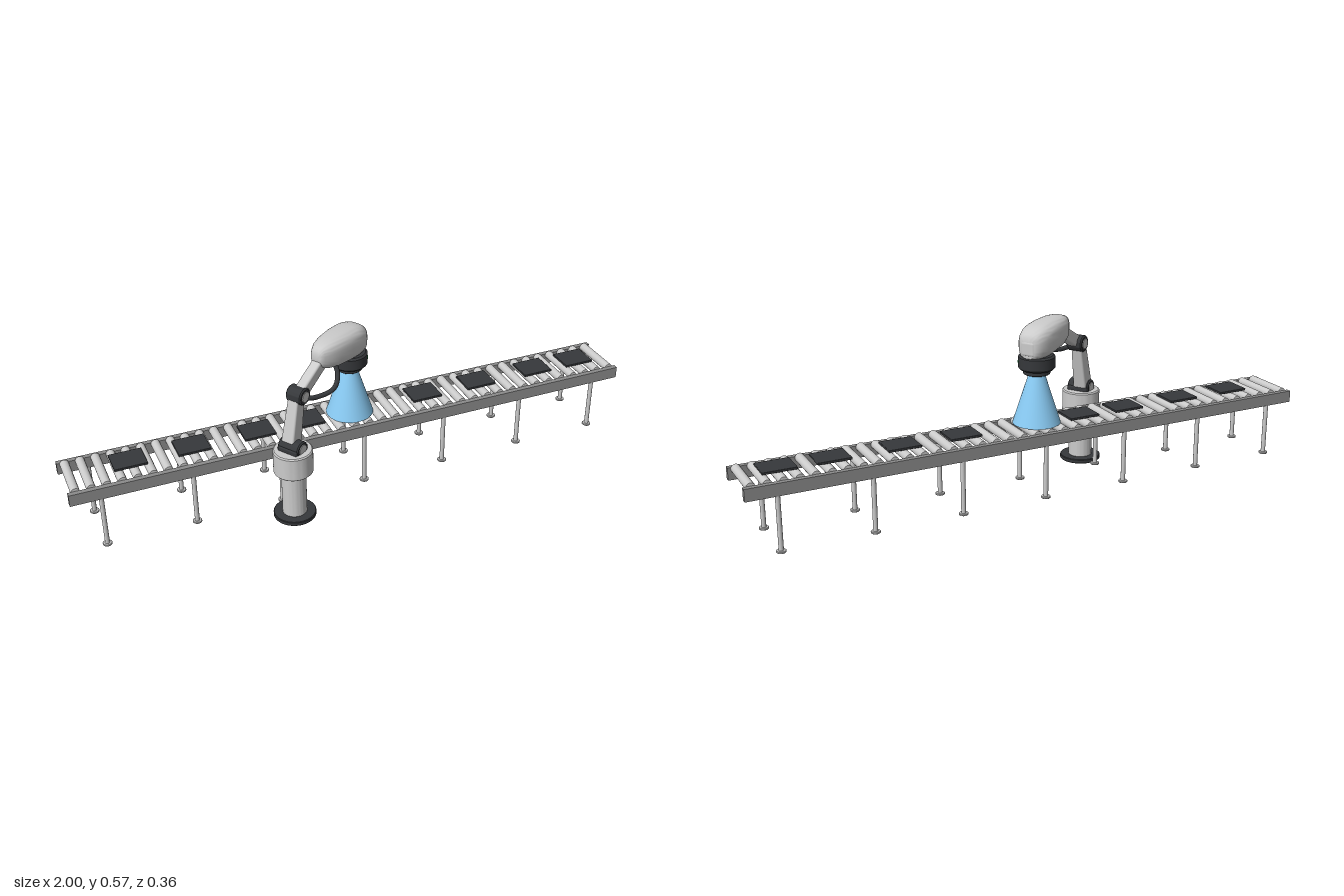
import * as THREE from 'three';
import { RoundedBoxGeometry } from 'three/addons/geometries/RoundedBoxGeometry.js';
import { toCreasedNormals } from 'three/addons/utils/BufferGeometryUtils.js';

const paint = (color) => new THREE.MeshStandardMaterial({ color });
const grey = paint(0xcccccc);
const steel = paint(0x8c8c8c);
const dark = paint(0x36383b);
const blue = paint(0x8accf5);
const green = paint(0x35c060);

function add(parent, name, geometry, material, x = 0, y = 0, z = 0) {
  const mesh = new THREE.Mesh(geometry, material);
  mesh.name = name;
  mesh.position.set(x, y, z);
  parent.add(mesh);
  return mesh;
}

// Upright turned solid with a small chamfer on both rims
function drum(radius, y0, y1, bevel) {
  const points = [[0, y0], [radius - bevel, y0], [radius, y0 + bevel], [radius, y1 - bevel], [radius - bevel, y1], [0, y1]];
  return toCreasedNormals(new THREE.LatheGeometry(points.map((p) => new THREE.Vector2(...p)), 48), 0.6);
}

// Drum lying along z, centred on the origin
const hinge = (radius, length, bevel = 0.004) => drum(radius, -length / 2, length / 2, bevel).rotateX(Math.PI / 2);

// Rounded bar between two points of the arm plane, tapering towards the far end
function link(from, to, width, depth, taper) {
  const a = new THREE.Vector2(...from), b = new THREE.Vector2(...to);
  const length = a.distanceTo(b);
  const geometry = new RoundedBoxGeometry(width, length, depth, 3, 0.007);
  const p = geometry.attributes.position;
  for (let i = 0; i < p.count; i++) {
    const k = 1 - taper * (p.getY(i) / length + 0.5);
    p.setX(i, p.getX(i) * k);
    p.setZ(i, p.getZ(i) * k);
  }
  geometry.rotateZ(Math.atan2(b.y - a.y, b.x - a.x) - Math.PI / 2);
  return geometry.translate((a.x + b.x) / 2, (a.y + b.y) / 2, 0);
}

// Skin over superellipse sections [x, top, bottom, halfWidth], closed at both ends
function loft(sections, sides = 40) {
  const positions = [], index = [];
  const power = (v) => Math.sign(v) * Math.abs(v) ** 0.68;
  for (const [x, top, bottom, half] of sections) {
    for (let j = 0; j < sides; j++) {
      const t = (j / sides) * Math.PI * 2;
      positions.push(x, (top + bottom) / 2 + power(Math.sin(t)) * (top - bottom) / 2, power(Math.cos(t)) * half);
    }
  }
  const last = sections.length - 1;
  for (let i = 0; i < last; i++) {
    for (let j = 0; j < sides; j++) {
      const k = (j + 1) % sides;
      const a = i * sides + j, b = i * sides + k, c = a + sides, d = b + sides;
      index.push(a, c, b, b, c, d);
    }
  }
  for (const i of [0, last]) {
    const [x, top, bottom] = sections[i];
    const centre = positions.length / 3;
    positions.push(x, (top + bottom) / 2, 0);
    for (let j = 0; j < sides; j++) {
      const a = i * sides + j, b = i * sides + ((j + 1) % sides);
      if (i === 0) index.push(centre, a, b);
      else index.push(centre, b, a);
    }
  }
  const geometry = new THREE.BufferGeometry();
  geometry.setAttribute('position', new THREE.Float32BufferAttribute(positions, 3));
  geometry.setIndex(index);
  return toCreasedNormals(geometry, 0.9);
}

function conveyor() {
  const group = new THREE.Group();
  group.name = 'conveyor';
  const middle = -0.0705, offset = 0.094;

  // Side rails on legs with round feet
  const rail = new THREE.BoxGeometry(2, 0.041, 0.0175);
  const leg = new THREE.CylinderGeometry(0.0078, 0.0078, 0.18, 20);
  const foot = drum(0.0155, 0, 0.007, 0.0015);
  for (const side of [1, -1]) {
    const z = middle + side * offset;
    add(group, 'sideRail', rail, steel, 0, 0.2045, z);
    for (let i = -3; i <= 3; i++) {
      add(group, 'leg', leg, grey, i * 0.3, 0.095, z);
      add(group, 'foot', foot, grey, i * 0.3, 0, z);
    }
  }

  // Rollers across the bed
  const roller = new THREE.CylinderGeometry(0.015, 0.015, 0.171, 20).rotateX(Math.PI / 2);
  for (let i = 0; i < 40; i++) add(group, 'roller', roller, grey, -0.975 + i * 0.05, 0.22, middle);

  // Flat goods riding on the rollers
  const plate = new RoundedBoxGeometry(0.11, 0.008, 0.093, 2, 0.002);
  for (const x of [-0.786, -0.575, -0.35, -0.175, -0.015, 0.262, 0.473, 0.702, 0.874]) {
    add(group, 'plate', plate, dark, x, 0.239, middle);
  }
  return group;
}

function robot() {
  // Local x points along the arm, local z to its side
  const group = new THREE.Group();
  group.name = 'robot';
  group.position.set(-0.288, 0, 0.1095);
  group.rotation.y = 0.578;

  // Pedestal
  add(group, 'basePlate', drum(0.071, 0, 0.015, 0.002), dark);
  add(group, 'column', drum(0.041, 0.015, 0.18, 0.001), grey);
  add(group, 'turret', drum(0.0655, 0.175, 0.26, 0.004), grey);

  // Shoulder, elbow and the links between them
  add(group, 'shoulder', hinge(0.029, 0.08), dark, 0, 0.268, 0);
  add(group, 'shoulderFoot', new RoundedBoxGeometry(0.066, 0.02, 0.076, 3, 0.005), dark, 0, 0.265, 0);
  add(group, 'elbow', hinge(0.029, 0.058), dark, 0.045, 0.44, -0.006);
  for (const side of [1, -1]) {
    add(group, 'shoulderCap', hinge(0.018, 0.004, 0.001), grey, 0, 0.27, side * 0.04);
    add(group, 'elbowCap', hinge(0.018, 0.004, 0.001), grey, 0.045, 0.44, -0.006 + side * 0.029);
  }
  add(group, 'lowerArm', link([0.002, 0.262], [0.045, 0.45], 0.054, 0.05, 0.25), grey, 0, 0, -0.009);
  add(group, 'upperArm', link([0.04, 0.44], [0.19, 0.522], 0.042, 0.036, 0), grey);

  // Cable looping from the elbow to the housing
  const cable = new THREE.CatmullRomCurve3([
    [0.045, 0.43, 0.01], [0.09, 0.422, 0.036], [0.15, 0.432, 0.06], [0.193, 0.46, 0.045], [0.205, 0.5, 0.02],
  ].map((p) => new THREE.Vector3(...p)));
  add(group, 'cable', new THREE.TubeGeometry(cable, 40, 0.008, 12), dark);

  // Rounded head housing and its end panel
  add(group, 'housing', loft([
    [0.138, 0.543, 0.507, 0.016], [0.142, 0.554, 0.5, 0.022], [0.15, 0.562, 0.492, 0.028],
    [0.175, 0.57, 0.48, 0.04], [0.21, 0.574, 0.471, 0.049], [0.27, 0.574, 0.464, 0.055],
    [0.315, 0.57, 0.46, 0.056], [0.34, 0.566, 0.459, 0.053], [0.365, 0.557, 0.46, 0.046],
    [0.379, 0.547, 0.464, 0.037], [0.387, 0.536, 0.468, 0.027],
  ]), grey);
  add(group, 'endPanel', new RoundedBoxGeometry(0.03, 0.052, 0.052, 4, 0.01), grey, 0.374, 0.5, 0);

  // Scanner with status light and light cone
  const scanner = new THREE.Group();
  scanner.name = 'scanner';
  scanner.position.x = 0.326;
  group.add(scanner);
  add(scanner, 'scannerBody', drum(0.061, 0.42, 0.469, 0.006), dark);
  add(scanner, 'lensRing', drum(0.045, 0.404, 0.422, 0.002), dark);
  const angle = 0.98;
  add(scanner, 'statusLight', new THREE.BoxGeometry(0.003, 0.007, 0.014), green,
    Math.cos(angle) * 0.061, 0.445, Math.sin(angle) * 0.061).rotation.y = -angle;
  add(scanner, 'lightCone', new THREE.CylinderGeometry(0.026, 0.0805, 0.17, 48), blue, 0, 0.32, 0);
  return group;
}

export function createModel() {
  const model = new THREE.Group();
  model.name = 'conveyorWithInspectionRobot';
  model.add(conveyor(), robot());
  return model;
}
